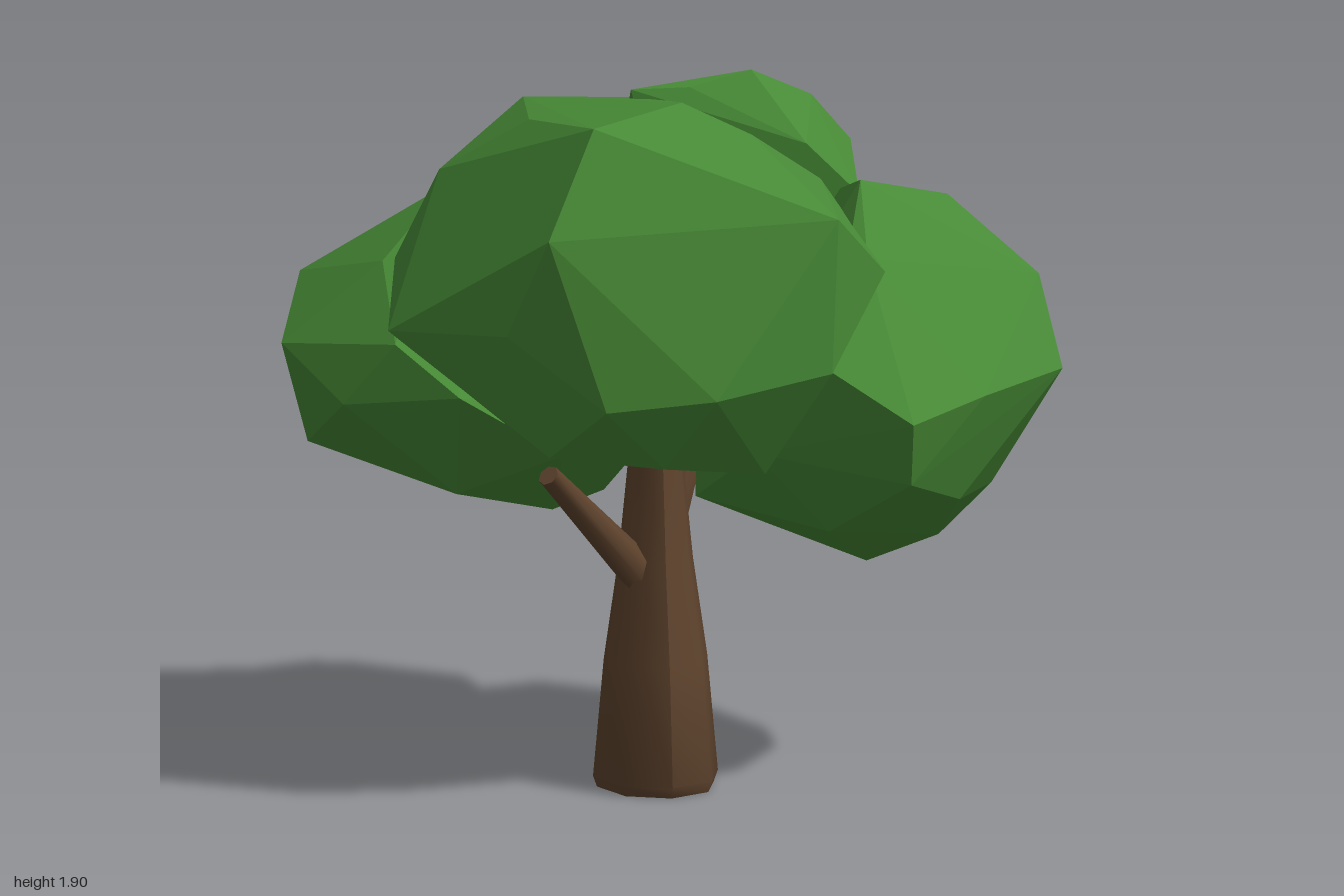
import * as THREE from 'three';
import { toCreasedNormals } from 'three/addons/utils/BufferGeometryUtils.js';
import { ConvexGeometry } from 'three/addons/geometries/ConvexGeometry.js';

const leaf = new THREE.MeshStandardMaterial({ color: 0x478a36, flatShading: true });
const bark = new THREE.MeshStandardMaterial({ color: 0x5e432d });

// Faceted leaf clump: the hull around a few corner points
function clump(name, corners) {
  const mesh = new THREE.Mesh(new ConvexGeometry(corners.map(p => new THREE.Vector3(...p))), leaf);
  mesh.name = name;
  return mesh;
}

// Tapered limb from point a to point b
function branch(name, a, b, r0, r1) {
  const from = new THREE.Vector3(...a), dir = new THREE.Vector3(...b).sub(from);
  const geo = new THREE.CylinderGeometry(r1, r0, dir.length(), 7);
  const mesh = new THREE.Mesh(toCreasedNormals(geo, 1), bark);
  mesh.position.copy(from).addScaledVector(dir, 0.5);
  mesh.quaternion.setFromUnitVectors(new THREE.Vector3(0, 1, 0), dir.normalize());
  mesh.name = name;
  return mesh;
}

export function createModel() {
  const tree = new THREE.Group();
  tree.name = 'tree';

  // Trunk: eight-sided, flared towards the ground, a little deeper than wide
  const profile = [[0, 0], [0.175, 0], [0.187, 0.03], [0.155, 0.35], [0.112, 0.62], [0.078, 0.93], [0.07, 1.1], [0, 1.1]]
    .map(p => new THREE.Vector2(...p));
  const trunkShape = new THREE.LatheGeometry(profile, 8).scale(0.92, 1, 1.09);
  const trunk = new THREE.Mesh(toCreasedNormals(trunkShape, 0.9), bark);
  trunk.position.set(-0.055, 0, 0.165);
  trunk.name = 'trunk';
  tree.add(trunk);

  // Limbs
  tree.add(branch('rightBranch', [-0.1, 0.58, 0.2], [-0.41, 0.92, 0.42], 0.055, 0.03));
  tree.add(branch('leftBranch', [-0.02, 0.7, 0.14], [0.05, 0.88, 0.1], 0.055, 0.04));

  // Large crown clump at the front and top
  tree.add(clump('crownLeaves', [
    [-0.32, 1.9, 0.57], [0, 1.885, 0.24], [0.03, 1.74, -0.49], [0.1, 1.74, -0.44], [0.18, 1.8, 0.3],
    [0.32, 1.65, 0.72], [0.42, 1.62, 0.08], [0.49, 1.46, 0.54], [0.3, 1.23, 0.73], [-0.03, 1.18, 0.78],
    [-0.32, 1.15, 0.72], [-0.47, 1.62, 0.68], [-0.56, 1.34, 0.57], [-0.8, 1.29, 0.2], [-0.6, 1.67, -0.05],
    [-0.4, 1.84, 0.15], [-0.32, 1.81, -0.26], [-0.38, 1.6, -0.42], [-0.72, 1.43, -0.06], [-0.43, 0.99, 0.52],
    [-0.14, 0.97, 0.64], [0.15, 0.93, 0.58], [0, 1, -0.3], [0.42, 1.15, 0], [-0.5, 1.02, -0.1]]));

  // Low clump on the left side
  tree.add(clump('leftLeaves', [
    [0.49, 1.65, 0.25], [0.76, 1.57, 0.12], [0.97, 1.38, 0.3], [1, 1.15, 0.45], [0.51, 1.09, 0.79],
    [0.46, 1.48, 0.46], [0.78, 1.38, -0.19], [0.91, 1.08, -0.21], [0.96, 1.1, -0.08], [0.96, 0.95, 0.12],
    [0.88, 0.88, -0.03], [0.67, 1.23, -0.41], [0.62, 1.08, -0.39], [0.65, 1.46, -0.24], [0.5, 1.55, -0.08],
    [0.85, 0.8, 0.25], [0.7, 0.67, 0.27], [0.53, 0.58, 0.15], [0.52, 0.91, 0.72], [0.74, 1.13, 0.65],
    [0.7, 0.82, 0.52], [0.35, 0.74, 0.48], [0.14, 0.97, 0.5], [0.07, 0.77, 0.1], [0.05, 0.93, 0.2],
    [0.45, 0.69, -0.1], [0.65, 0.85, -0.28], [0.2, 1, -0.3], [0.3, 1.23, 0.68]]));

  // Low clump on the right side, towards the back
  tree.add(clump('rightLeaves', [
    [-1, 1.18, -0.2], [-0.89, 1.32, -0.45], [-0.61, 1.2, -0.67], [-0.36, 1.1, -0.71], [-0.9, 1.07, 0.1],
    [-0.78, 1.25, 0.2], [-0.89, 0.87, -0.36], [-0.6, 0.82, 0.15], [-0.64, 1.13, 0.36], [-0.3, 0.73, 0],
    [-0.16, 0.71, -0.41], [-0.1, 0.72, -0.25], [-0.72, 0.89, -0.47], [-0.52, 1.57, -0.3], [-0.45, 1.45, -0.55],
    [-0.74, 1.41, -0.12], [-0.2, 1.45, -0.25], [-0.1, 1.1, -0.6], [0, 1, 0.1], [-0.35, 0.95, 0.33]]));

  // High clump at the back left
  tree.add(clump('upperBackLeaves', [
    [0.29, 1.87, -0.18], [0.46, 1.79, -0.2], [0.36, 1.8, -0.35], [0.58, 1.65, -0.25], [0.62, 1.45, -0.4],
    [0.45, 1.58, -0.55], [0.28, 1.47, -0.66], [-0.02, 1.42, -0.53], [0.12, 1.73, -0.42], [0.12, 1.83, -0.18],
    [-0.03, 1.82, -0.23], [0.4, 1.7, 0], [0.55, 1.55, -0.02], [0.4, 1.2, -0.55], [0.5, 1.2, -0.2],
    [0.12, 1.1, -0.5], [0.1, 1.2, -0.1]]));

  // Small clump low at the back
  tree.add(clump('lowerBackLeaves', [
    [-0.15, 1.17, -0.8], [-0.31, 1.29, -0.7], [0.14, 1.28, -0.69], [0.23, 1.1, -0.63], [0.3, 1.25, -0.58],
    [-0.1, 1.43, -0.64], [0.1, 1.42, -0.52], [-0.28, 1.43, -0.5], [0.03, 0.94, -0.67], [-0.2, 0.97, -0.68],
    [0.15, 0.92, -0.5], [-0.02, 0.8, -0.4], [0.3, 1.05, -0.35], [0.2, 1.35, -0.3], [0.15, 0.8, -0.2],
    [-0.3, 1, -0.3]]));

  return tree;
}
